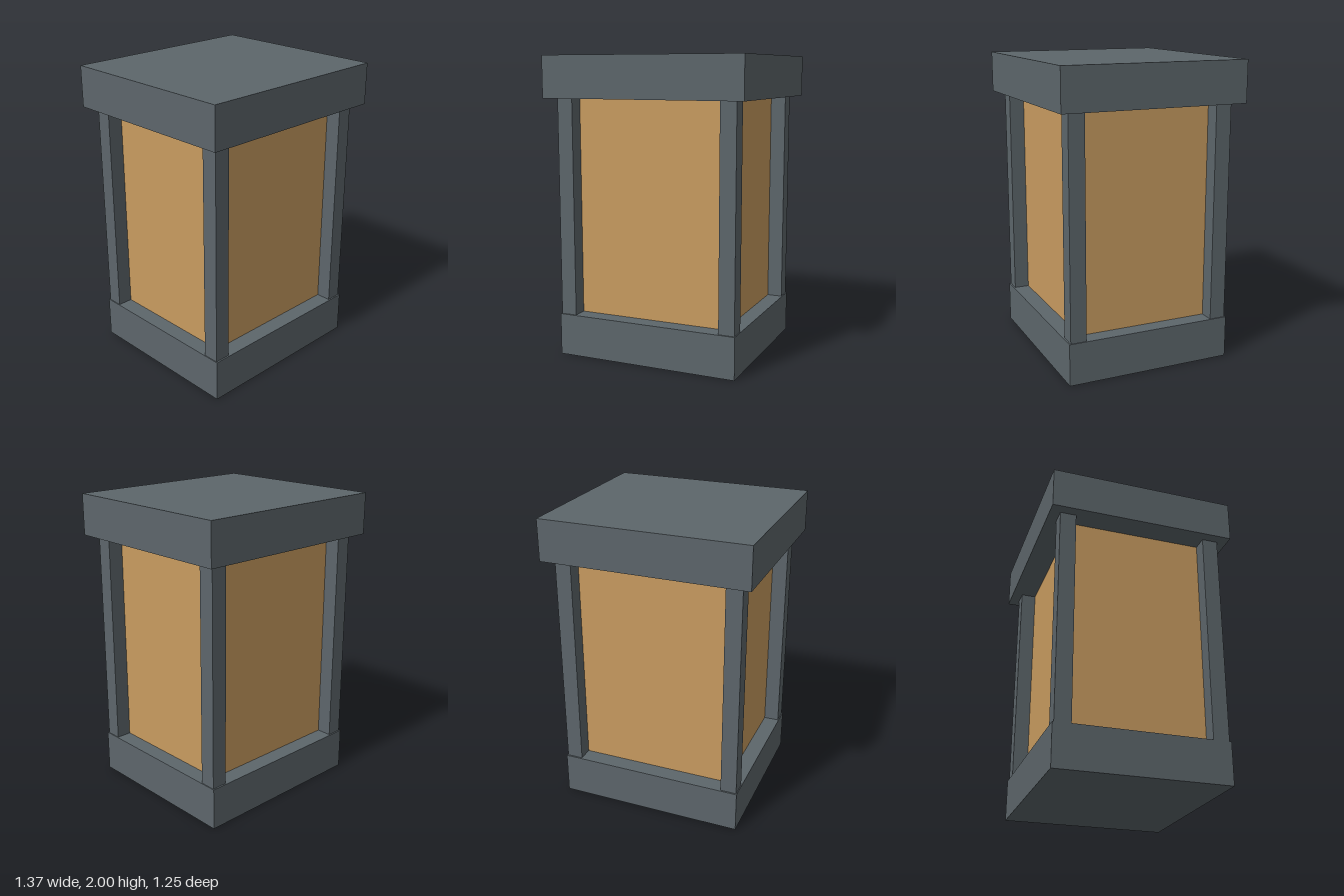
import * as THREE from 'three';

export function createModel() {
  const model = new THREE.Group();
  model.name = 'lantern';

  const frame = new THREE.MeshStandardMaterial({ color: 0x5d666b });
  frame.name = 'slate grey frame';
  const glow = new THREE.MeshStandardMaterial({ color: 0xc99c60 });
  glow.name = 'amber panel';

  // Box centred on x and z, or offset, spanning y0 to y1
  const addBox = (name, material, width, depth, y0, y1, x = 0, z = 0) => {
    const mesh = new THREE.Mesh(new THREE.BoxGeometry(width, y1 - y0, depth), material);
    mesh.name = name;
    mesh.position.set(x, (y0 + y1) / 2, z);
    model.add(mesh);
  };

  const baseTop = 0.28, capBottom = 1.725;

  // Plinth and overhanging cap
  addBox('base', frame, 1.246, 1.13, 0, baseTop);
  addBox('cap', frame, 1.372, 1.246, capBottom, 2);

  // Amber core, set back behind the posts
  addBox('panelCore', glow, 1.03, 0.906, baseTop, capBottom);

  // Four corner posts
  for (const [sx, side] of [[1, 'Left'], [-1, 'Right']]) {
    for (const [sz, end] of [[1, 'front'], [-1, 'back']]) {
      addBox(`${end}${side}Post`, frame, 0.107, 0.107, baseTop, capBottom, sx * 0.5635, sz * 0.501);
    }
  }

  return model;
}
